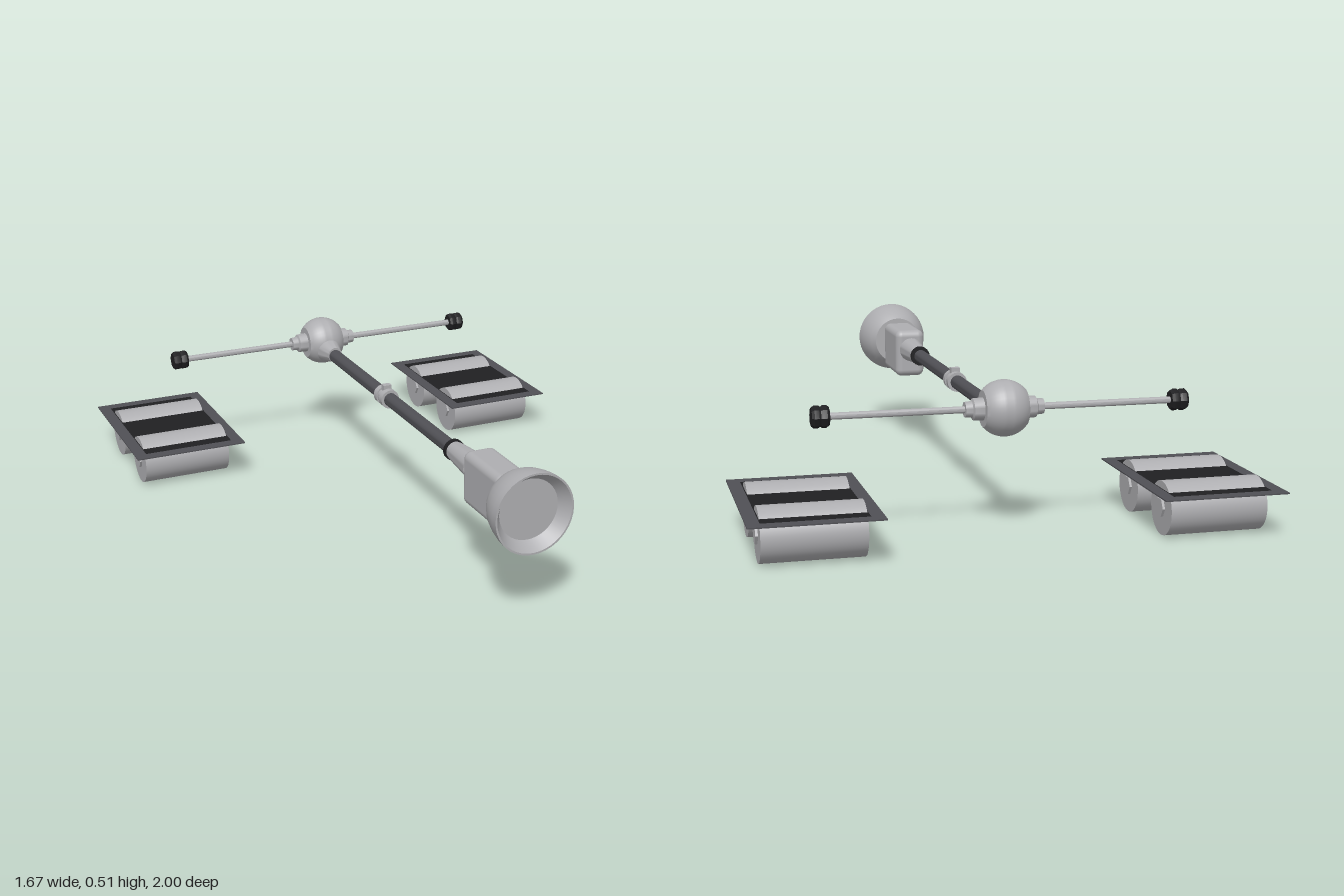
import * as THREE from 'three';
import { toCreasedNormals } from 'three/addons/utils/BufferGeometryUtils.js';
import { RoundedBoxGeometry } from 'three/addons/geometries/RoundedBoxGeometry.js';

export function createModel() {
  const root = new THREE.Group();
  const mat = (name, color, side = THREE.FrontSide) =>
    new THREE.MeshStandardMaterial({ name, color, side });
  const metal = mat('light metal', 0xaeaeb1, THREE.DoubleSide);
  const grey = mat('dark grey', 0x505055);
  const black = mat('black rubber', 0x202022);

  const add = (parent, name, geometry, material, x = 0, y = 0, z = 0) => {
    const mesh = new THREE.Mesh(geometry, material);
    mesh.name = name;
    mesh.position.set(x, y, z);
    parent.add(mesh);
    return mesh;
  };
  // Turned part: [radius, distance] pairs spun about the z or x axis
  const turned = (axis, points, sides = 32) => {
    const g = new THREE.LatheGeometry(points.map(p => new THREE.Vector2(...p)), sides);
    if (axis === 'z') g.rotateX(Math.PI / 2); else g.rotateZ(-Math.PI / 2);
    return toCreasedNormals(g, 0.6);
  };
  const rod = (axis, r, a, b, sides) => turned(axis, [[0, a], [r, a], [r, b], [0, b]], sides);

  // Long shaft with its collar and two-ring clip
  const Y = 0.376;
  add(root, 'shaft', rod('z', 0.024, -0.6, 0.46, 24), grey, 0, Y);
  add(root, 'shaftCollar', rod('z', 0.036, 0.448, 0.462, 24), black, 0, Y);
  const clip = new THREE.Group();
  clip.name = 'clip';
  root.add(clip);
  for (const z of [-0.066, -0.112])
    add(clip, 'clipRing', rod('z', 0.034, z - 0.012, z + 0.012, 20), metal, 0, Y);
  add(clip, 'clipBand', rod('z', 0.029, -0.11, -0.07, 20), metal, 0, Y);
  add(clip, 'clipTab', new THREE.BoxGeometry(0.03, 0.03, 0.024), metal, 0, 0.407, -0.087);

  // Handle: tapered socket, short neck and rounded body
  add(root, 'socket', turned('z', [[0, 0.462], [0.031, 0.462], [0.034, 0.48],
    [0.045, 0.612], [0, 0.612]]), metal, 0, Y);
  add(root, 'neck', rod('z', 0.02, 0.6, 0.64, 20), metal, 0, Y);
  add(root, 'body', new RoundedBoxGeometry(0.112, 0.18, 0.246, 4, 0.025), metal, 0, 0.358, 0.746);

  // Open-backed bell with a recessed front disc
  add(root, 'bell', turned('z', [[0.09, 0.866], [0.105, 0.885], [0.118, 0.912], [0.127, 0.945],
    [0.132, 0.975], [0.133, 1], [0.127, 1], [0.1, 0.96]], 40), metal, 0, 0.374);
  add(root, 'bellDisc', new THREE.CircleGeometry(0.101, 40), metal, 0, 0.374, 0.96);

  // Rear joint: ball flattened at both sides, and the cone joining it to the shaft
  const ball = [];
  for (let i = 0; i <= 14; i++) {
    const x = -0.068 + 0.136 * i / 14;
    ball.push([Math.sqrt(0.089 ** 2 - x * x), x]);
  }
  const JY = 0.399, JZ = -0.709;
  add(root, 'ballJoint', turned('x', [[0, -0.068], ...ball, [0, 0.068]], 36), metal, 0, JY, JZ);
  add(root, 'jointCone', turned('z', [[0.05, -0.655], [0.042, -0.62], [0.031, -0.585],
    [0.028, -0.572], [0, -0.572]]), metal, 0, 0.38);

  for (const s of [1, -1]) {
    // Side arm with stepped collar and faceted end knob
    const arm = new THREE.Group();
    arm.name = s > 0 ? 'leftArm' : 'rightArm';
    arm.position.set(0, JY, JZ);
    if (s < 0) arm.rotation.y = Math.PI;
    root.add(arm);
    add(arm, 'armCollar', turned('x', [[0.036, 0.06], [0.034, 0.1], [0.026, 0.104],
      [0.024, 0.126], [0, 0.126]], 24), metal);
    add(arm, 'armRod', rod('x', 0.011, 0.11, 0.56, 16), metal);
    add(arm, 'armKnob', turned('x', [[0, 0.547], [0.029, 0.547], [0.035, 0.555], [0.035, 0.568],
      [0.031, 0.574], [0.035, 0.58], [0.035, 0.594], [0.029, 0.602], [0, 0.602]], 8), black);

    // Roller tray: thin frame, dark panel and two rollers pushed through it
    const tray = new THREE.Group();
    tray.name = s > 0 ? 'leftRollerTray' : 'rightRollerTray';
    tray.position.set(s * 0.63, 0, -0.708);
    root.add(tray);
    const rect = (T, w, d) => new T([[-w, -d], [w, -d], [w, d], [-w, d]]
      .map(p => new THREE.Vector2(...p)));
    const outline = rect(THREE.Shape, 0.203, 0.292);
    outline.holes.push(rect(THREE.Path, 0.162, 0.252));
    const frame = new THREE.ExtrudeGeometry(outline, { depth: 0.004, bevelEnabled: false });
    frame.rotateX(-Math.PI / 2);
    add(tray, 'trayFrame', frame, grey, 0, 0.145);
    add(tray, 'trayPanel', new THREE.BoxGeometry(0.324, 0.004, 0.504), black, 0, 0.147);
    for (const z of [0.145, -0.145]) {
      add(tray, 'roller', rod('x', 0.086, -0.159, 0.159, 40), metal, 0, 0.087, z);
      add(tray, 'rollerHub', rod('x', 0.032, -0.167, 0.167, 6), metal, 0, 0.09, z);
    }
  }
  return root;
}
